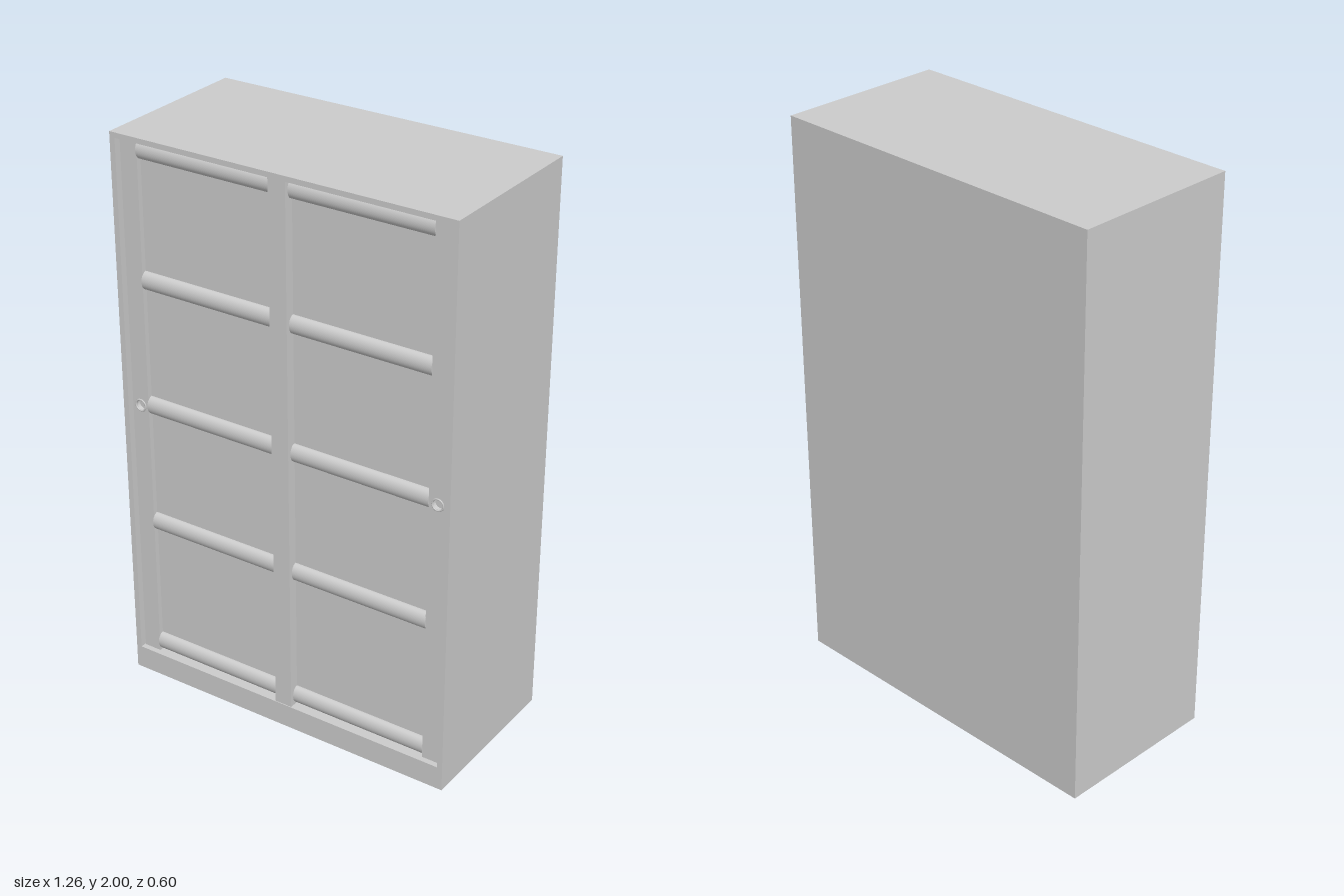
import * as THREE from 'three';

const W = 0.63, H = 2, D = 0.3;            // half width, height, half depth
const OX = 0.61, OY0 = 0.085, OY1 = 1.982; // door opening
const PANEL_Z = 0.262, STILE_Z = 0.28, KNOB_Y = 1.05, KNOB_R = 0.02;
const material = new THREE.MeshStandardMaterial({ color: 0xcccccc });

function part(parent, name, geometry, x = 0, y = 0, z = 0) {
  const mesh = new THREE.Mesh(geometry, material);
  mesh.name = name;
  mesh.position.set(x, y, z);
  parent.add(mesh);
  return mesh;
}

function rect(T, x0, y0, x1, y1) {
  const s = new T();
  s.moveTo(x0, y0).lineTo(x1, y0).lineTo(x1, y1).lineTo(x0, y1).closePath();
  return s;
}

const extrude = (shape, depth) =>
  new THREE.ExtrudeGeometry(shape, { depth, bevelEnabled: false, curveSegments: 24 });

// Half-round bar lying along x, its flat side at z = 0
function railGeometry(length) {
  const s = new THREE.Shape();
  s.absellipse(0, 0, 0.023, 0.032, -Math.PI / 2, Math.PI / 2, false, 0);
  s.closePath();
  return extrude(s, length).translate(0, 0, -length / 2).rotateY(Math.PI / 2)
    .rotateX(0).scale(-1, 1, -1);
}

// One sliding door; side is +1 for the model's left, -1 for its right
function createDoor(side) {
  const door = new THREE.Group();
  door.name = side > 0 ? 'leftDoor' : 'rightDoor';
  const height = OY1 - OY0, midY = (OY0 + OY1) / 2;
  part(door, 'doorPanel', new THREE.BoxGeometry(OX, height, 0.02),
    side * OX / 2, midY, PANEL_Z - 0.01);

  // Outer stile with a round finger pull sunk into it
  const stile = rect(THREE.Shape, -0.0325, OY0, 0.0325, OY1);
  const pull = new THREE.Path();
  pull.absarc(0, KNOB_Y, KNOB_R, 0, Math.PI * 2, true);
  stile.holes.push(pull);
  part(door, 'outerStile', extrude(stile, STILE_Z - PANEL_Z), side * 0.574, 0, PANEL_Z);
  part(door, 'fingerPullRim', new THREE.TorusGeometry(KNOB_R, 0.003, 8, 32),
    side * 0.574, KNOB_Y, STILE_Z);

  // Half-round cross rails
  for (const y of [0.122, 0.61, 1.055, 1.505, 1.95])
    part(door, 'crossRail', railGeometry(0.515), side * 0.285, y, PANEL_Z);
  return door;
}

export function createModel() {
  const cabinet = new THREE.Group();
  cabinet.name = 'slidingDoorCabinet';

  // Carcass: open box with a thin frame and a taller plinth
  const outline = rect(THREE.Shape, -W, 0, W, H);
  outline.holes.push(rect(THREE.Path, -OX, OY0, OX, OY1));
  part(cabinet, 'carcass', extrude(outline, 2 * D - 0.02), 0, 0, -D + 0.02);
  part(cabinet, 'backPanel', new THREE.BoxGeometry(2 * W, H, 0.02), 0, H / 2, -D + 0.01);

  for (const side of [1, -1]) cabinet.add(createDoor(side));

  // Meeting stile where the doors overlap
  part(cabinet, 'centreStile', new THREE.BoxGeometry(0.064, OY1 - OY0, 0.045),
    0, (OY0 + OY1) / 2, 0.2745);
  return cabinet;
}
